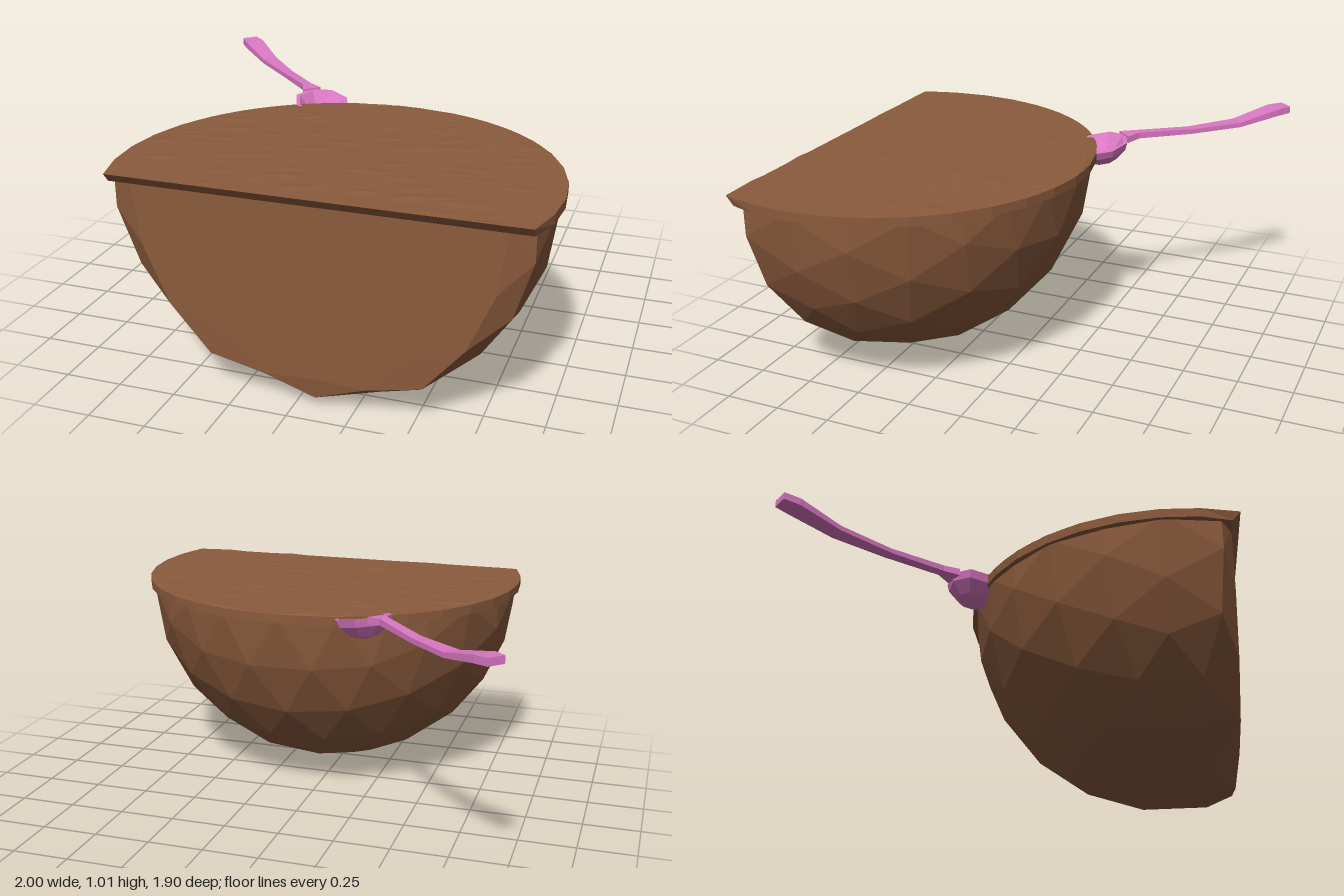
import * as THREE from 'three';

const CX = 0.085, CZ = 0.63;            // bowl centre in plan
const brown = new THREE.MeshStandardMaterial({ color: 0x8b5b3d, flatShading: true, side: THREE.DoubleSide });
const pink = new THREE.MeshStandardMaterial({ color: 0xdb78c4, flatShading: true, side: THREE.DoubleSide });

function mesh(name, geometry, material) {
  const m = new THREE.Mesh(geometry, material);
  m.name = name;
  return m;
}

// Small seeded generator for the uneven surface
function seeded(seed) {
  return () => (seed = (seed * 16807) % 2147483647) / 2147483647;
}

// Faceted ball, flattened at the top and at the front cut
function shellGeometry() {
  const g = new THREE.IcosahedronGeometry(0.9, 3);
  g.rotateY(Math.PI / 2);
  g.translate(CX, 0.9, CZ);
  const p = g.attributes.position;
  for (let i = 0; i < p.count; i++) {
    p.setY(i, Math.min(p.getY(i), 0.9));
    if (p.getZ(i) > 0.955) p.setZ(i, 0.91);
  }
  g.computeVertexNormals();
  return g;
}

// Round slab with a straight front edge
const LID_R = 0.914, FRONT = 0.945, BACK = CZ - LID_R;
function lidGeometry() {
  const a0 = Math.asin((FRONT - CZ) / LID_R), n = 21;
  const pts = [];
  for (let i = 0; i <= n; i++) {
    const a = a0 - (i / n) * (Math.PI + 2 * a0);
    pts.push(new THREE.Vector2(CX + LID_R * Math.cos(a), -(CZ + LID_R * Math.sin(a))));
  }
  const g = new THREE.ExtrudeGeometry(new THREE.Shape(pts), { depth: 0.04, bevelEnabled: false });
  g.rotateX(-Math.PI / 2);
  g.translate(0, 0.88, 0);
  const p = g.attributes.position;
  for (let i = 0; i < p.count; i++) {
    if (p.getZ(i) > 0.93 && p.getY(i) < 0.9) p.setZ(i, 0.912);   // undercut front lip
  }
  g.computeVertexNormals();
  return g;
}

// Slightly rough top made of long, thin patches
function roughTopGeometry() {
  const cols = 20, rows = 34, rnd = seeded(17);
  const g = new THREE.PlaneGeometry(2, 1, cols, rows);
  const p = g.attributes.position;
  for (let i = 0; i < p.count; i++) {
    const u = p.getX(i), v = 0.5 - p.getY(i);
    const z = BACK + v * (FRONT - BACK);
    const half = Math.sqrt(Math.max(0, LID_R ** 2 - (z - CZ) ** 2)) * 0.995;
    const edge = Math.abs(u) > 0.99 || v < 0.01;
    const bump = rnd() > 0.75 ? 0.006 * rnd() : 0.001;
    p.setXYZ(i, CX + u * half, 0.9205 + (edge ? 0 : bump), z);
  }
  g.computeVertexNormals();
  return g;
}

// Handle lofted through rectangular sections: x, y, z, half width, half thickness
function handleGeometry() {
  const sections = [
    [-0.375, 0.94, -0.305, 0.045, 0.016],
    [-0.42, 0.947, -0.355, 0.022, 0.014],
    [-0.6, 0.94, -0.555, 0.025, 0.011],
    [-0.775, 0.948, -0.735, 0.037, 0.011],
    [-0.92, 0.988, -0.875, 0.047, 0.016],
    [-0.97, 0.993, -0.925, 0.038, 0.016],
  ];
  const v = [], idx = [];
  sections.forEach(([x, y, z, w, t], k) => {
    const s = w * Math.SQRT1_2;
    v.push(x + s, y - t, z - s, x + s, y + t, z - s, x - s, y + t, z + s, x - s, y - t, z + s);
    if (k === 0) return;
    for (let j = 0; j < 4; j++) {
      const a = (k - 1) * 4 + j, b = (k - 1) * 4 + ((j + 1) % 4);
      idx.push(a, b, b + 4, a, b + 4, a + 4);
    }
  });
  const e = (sections.length - 1) * 4;
  idx.push(0, 2, 1, 0, 3, 2, e, e + 1, e + 2, e, e + 2, e + 3);
  const g = new THREE.BufferGeometry();
  g.setAttribute('position', new THREE.Float32BufferAttribute(v, 3));
  g.setIndex(idx);
  g.computeVertexNormals();
  return g;
}

function createSpoon() {
  const spoon = new THREE.Group();
  spoon.name = 'spoon';
  spoon.add(mesh('spoonHandle', handleGeometry(), pink));

  // Hollow scoop with wall thickness, tipped down towards the bowl
  const profile = [[0, -0.075], [0.065, -0.06], [0.115, -0.015], [0.13, 0.02], [0.112, 0.02], [0.058, -0.035], [0, -0.045]];
  const scoop = mesh('spoonScoop',
    new THREE.LatheGeometry(profile.map(([x, y]) => new THREE.Vector2(x, y)), 8), pink);
  scoop.position.set(-0.295, 0.905, -0.225);
  scoop.quaternion.setFromAxisAngle(new THREE.Vector3(1, 0, -1).normalize(), 0.2);
  spoon.add(scoop);
  return spoon;
}

export function createModel() {
  const model = new THREE.Group();
  model.name = 'halfBowlWithSpoon';
  model.add(
    mesh('bowlShell', shellGeometry(), brown),
    mesh('lid', lidGeometry(), brown),
    mesh('lidRoughTop', roughTopGeometry(), brown),
    createSpoon(),
  );
  return model;
}
